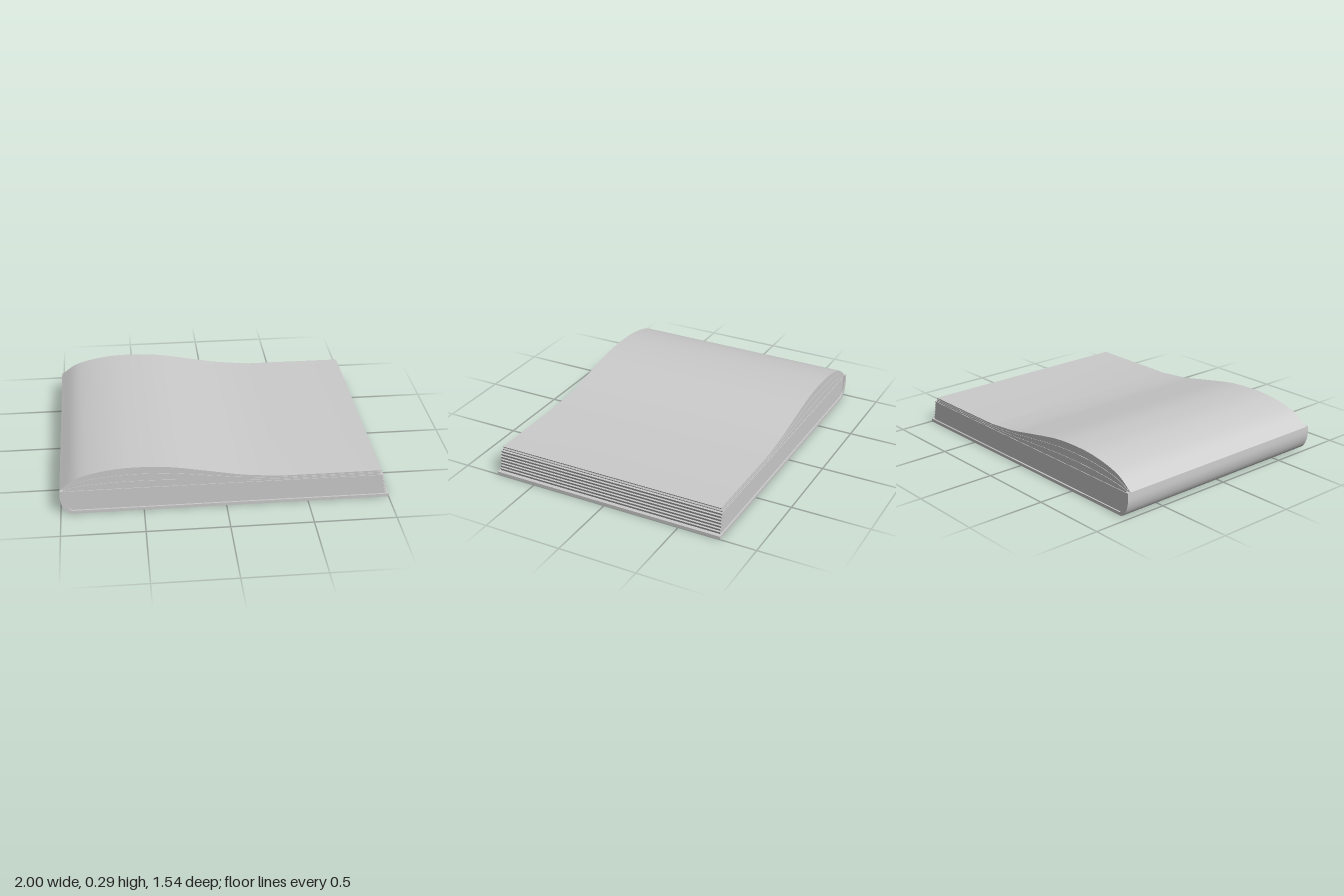
import * as THREE from 'three';
import { toCreasedNormals } from 'three/addons/utils/BufferGeometryUtils.js';

const material = new THREE.MeshStandardMaterial({ color: 0xcccccc, side: THREE.DoubleSide });

// Extrudes an x/y outline across the width of the book, centred on z = 0
function slab(name, points, halfWidth) {
  const shape = new THREE.Shape(points.map(([x, y]) => new THREE.Vector2(x, y)));
  const geometry = new THREE.ExtrudeGeometry(shape, { depth: halfWidth * 2, bevelEnabled: false });
  geometry.translate(0, 0, -halfWidth);
  const mesh = new THREE.Mesh(toCreasedNormals(geometry, 0.5), material);
  mesh.name = name;
  return mesh;
}

// Smooth run of points through a few guide points
function smooth(points, steps) {
  const curve = new THREE.CatmullRomCurve3(points.map(([x, y]) => new THREE.Vector3(x, y, 0)));
  return curve.getPoints(steps).map((p) => [p.x, p.y]);
}

export function createModel() {
  const book = new THREE.Group();
  book.name = 'openBook';

  // Back cover and rounded spine
  book.add(slab('backCover', [[-0.945, 0], [1, 0], [1, 0.02], [-0.945, 0.02]], 0.77));
  const outer = smooth([[-1, 0.16], [-1, 0.1], [-0.985, 0.045], [-0.96, 0.01], [-0.94, 0]], 12);
  const inner = smooth([[-0.93, 0.02], [-0.947, 0.035], [-0.965, 0.09], [-0.977, 0.16]], 12);
  book.add(slab('spine', [...outer, ...inner], 0.77));

  // Flat page block: thin bundles with slanted, staggered fore edges
  const block = new THREE.Group();
  block.name = 'pageBlock';
  const bundles = 7, bottom = 0.02, top = 0.152;
  const left = (t) => -0.935 - 0.04 * Math.sqrt(t);
  for (let i = 0; i < bundles; i++) {
    const t0 = i / bundles, t1 = (i + 1) / bundles;
    const y0 = bottom + (top - bottom) * t0, y1 = bottom + (top - bottom) * t1;
    const edge = 0.985 - 0.027 * t0;
    block.add(slab('pageBundle', [[left(t0), y0], [edge - 0.01, y0], [edge, y1], [left(t1), y1]], 0.76));
  }
  book.add(block);

  // Loose upper pages arching up from the spine and settling flat
  const arch = [
    ...smooth([[-1, 0.16], [-0.91, 0.225], [-0.82, 0.257], [-0.66, 0.285], [-0.5, 0.29], [-0.34, 0.28],
      [-0.1, 0.238], [0.1, 0.201], [0.32, 0.179]], 32),
    [0.945, 0.179],
  ];
  const level = (k) => arch.map(([x, y]) => [x, top + (y - top) * k / 3]);
  const pages = new THREE.Group();
  pages.name = 'archedPages';
  for (let k = 0; k < 3; k++) {
    const lower = level(k), upper = level(k + 1).reverse();
    upper[0][0] += k === 1 ? -0.006 : 0.005;
    pages.add(slab('archedPage', [...lower, ...upper], 0.756 - 0.003 * k));
  }
  book.add(pages);
  return book;
}
